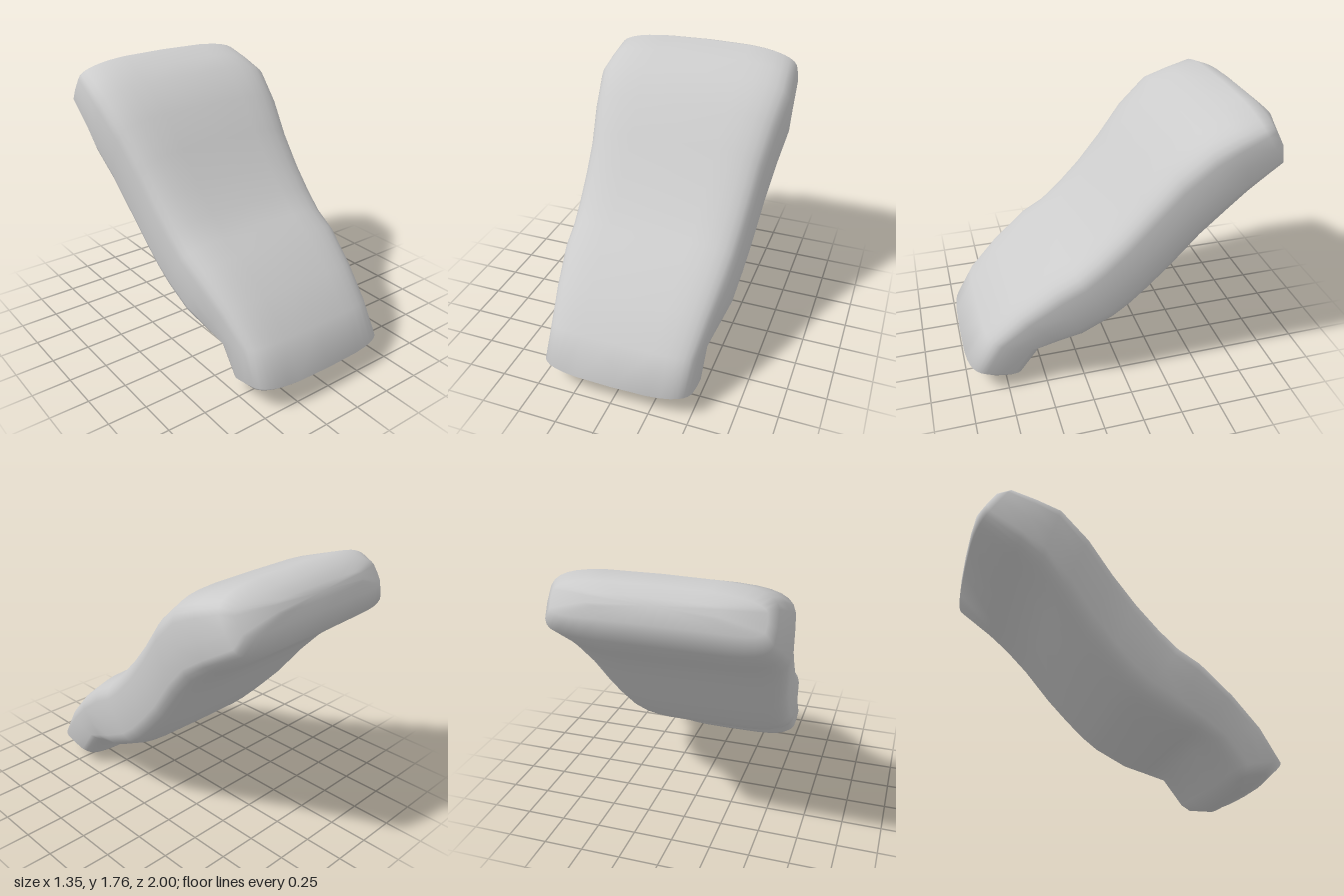
import * as THREE from 'three';

// Sections from lower end to upper end:
// [front z, front y, back z, back y, half width, end bow]
const SECTIONS = [
  [0.81, 0.005, 0.75, 0.0, 0.25, 0.0],
  [0.91, 0.05, 0.69, 0.01, 0.44, 0.04],
  [1.0, 0.14, 0.63, 0.06, 0.495, 0.03],
  [0.87, 0.37, 0.49, 0.24, 0.495, 0],
  [0.68, 0.57, 0.36, 0.275, 0.53, 0],
  [0.45, 0.76, 0.24, 0.31, 0.565, 0],
  [0.32, 0.83, 0.03, 0.42, 0.575, 0],
  [0.19, 0.94, -0.07, 0.5, 0.585, 0],
  [0.04, 1.09, -0.18, 0.61, 0.597, 0],
  [-0.12, 1.28, -0.31, 0.75, 0.612, 0],
  [-0.28, 1.48, -0.48, 0.97, 0.645, 0],
  [-0.47, 1.645, -0.62, 1.13, 0.675, 0],
  [-0.63, 1.7, -0.75, 1.24, 0.662, 0],
  [-0.79, 1.76, -1.0, 1.43, 0.645, -0.04],
  [-0.89, 1.73, -1.0, 1.55, 0.6, -0.05],
  [-0.95, 1.68, -0.985, 1.61, 0.37, 0],
];
const SIDES = 32;
const rounded = (v) => Math.sign(v) * Math.abs(v) ** 0.45;

// Loft of softly squared cross-sections, closed at both ends
function padGeometry() {
  const positions = [];
  const index = [];
  for (const [fz, fy, bz, by, w, bow] of SECTIONS) {
    for (let j = 0; j < SIDES; j++) {
      const a = (j / SIDES) * Math.PI * 2;
      const u = rounded(Math.cos(a));
      const t = rounded(Math.sin(a)) / 2;
      const tuck = bow * Math.abs(u) ** 3;
      positions.push(
        w * u,
        (fy + by) / 2 + (fy - by) * t + 0.8 * tuck,
        (fz + bz) / 2 + (fz - bz) * t - 0.6 * tuck
      );
    }
  }
  const last = SECTIONS.length - 1;
  for (let i = 0; i < last; i++) {
    for (let j = 0; j < SIDES; j++) {
      const k = (j + 1) % SIDES;
      const a = i * SIDES + j, b = i * SIDES + k;
      const c = a + SIDES, d = b + SIDES;
      index.push(a, c, b, b, c, d);
    }
  }
  // End caps
  for (const i of [0, last]) {
    const [fz, fy, bz, by] = SECTIONS[i];
    const centre = positions.length / 3;
    positions.push(0, (fy + by) / 2, (fz + bz) / 2);
    for (let j = 0; j < SIDES; j++) {
      const a = i * SIDES + j, b = i * SIDES + ((j + 1) % SIDES);
      if (i === 0) index.push(centre, a, b);
      else index.push(centre, b, a);
    }
  }
  const geometry = new THREE.BufferGeometry();
  geometry.setAttribute('position', new THREE.Float32BufferAttribute(positions, 3));
  geometry.setIndex(index);
  geometry.computeVertexNormals();
  return geometry;
}

export function createModel() {
  const group = new THREE.Group();
  group.name = 'cushion';
  const pad = new THREE.Mesh(
    padGeometry(),
    new THREE.MeshStandardMaterial({ color: 0xcccccc })
  );
  pad.name = 'curvedPad';
  group.add(pad);
  return group;
}
